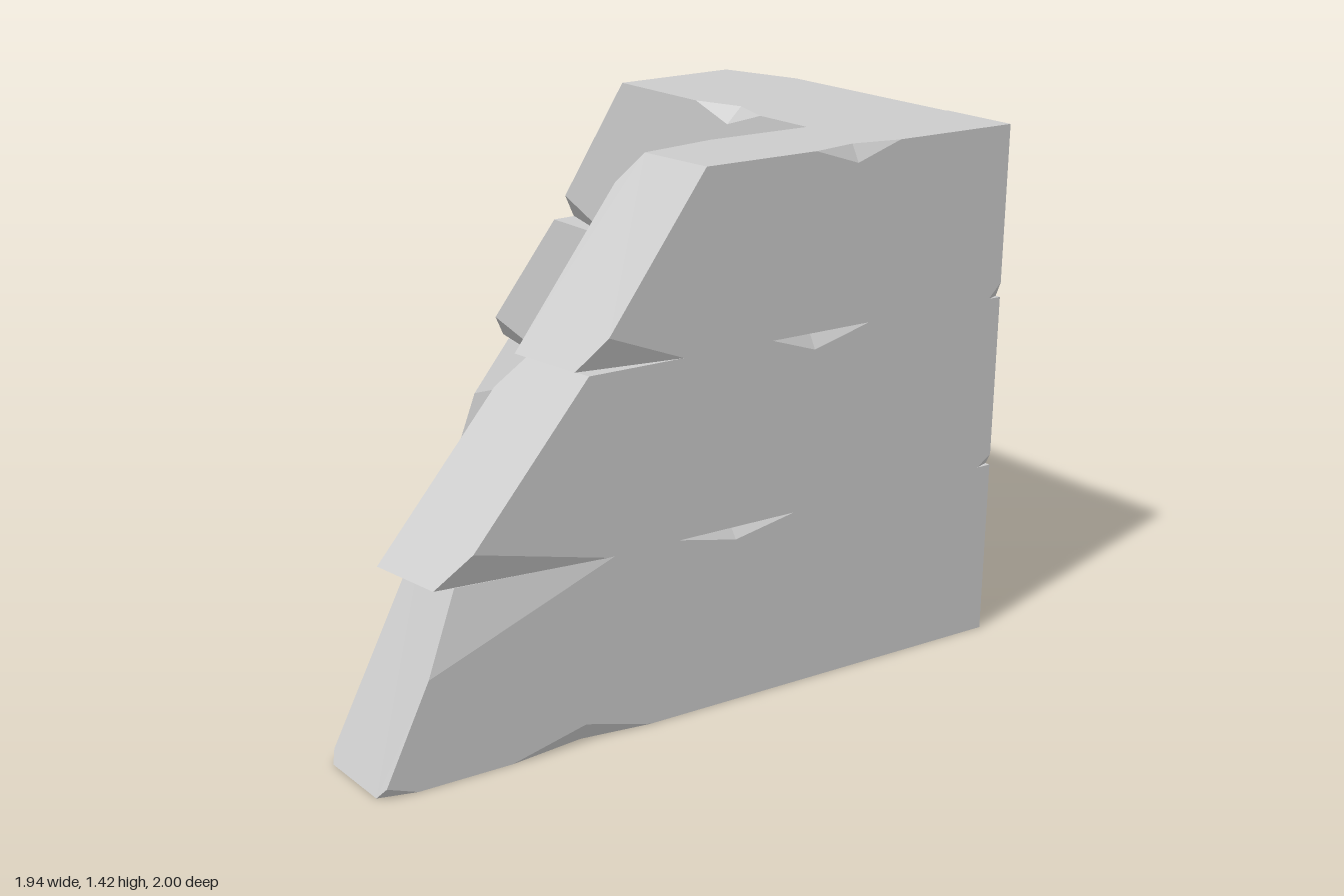
import * as THREE from 'three';

// Rock layers of one wall. Corner order of `left`: x of the sloping end as [back, front].
// chips: [sx, sy, sz, height cut, x reached along the wall, z reached across it]
// notches: [sy, sz, x0, apex x, x1, height]
const LAYERS = [
  {
    name: 'lowerLayer', y: [0, 0.48], left: [[-0.968, -0.972], [-0.73, -0.745]],
    chips: [
      [-1, 1, 1, 0.2, -0.3, 0.35], [-1, 1, -1, 0.04, -0.57, -0.35],
      [-1, -1, 1, 0.03, -0.87, 0.4], [-1, -1, -1, 0.03, -0.91, -0.42],
    ],
    notches: [
      [-1, 1, -0.6, -0.38, -0.18, 0.05], [1, 1, -0.1, 0.08, 0.27, 0.035],
      [-1, -1, 0.41, 0.49, 0.62, 0.03], [1, -1, -0.48, -0.34, -0.13, 0.04],
    ],
  },
  {
    name: 'middleLayer', y: [0.48, 0.955], left: [[-0.825, -0.79], [-0.42, -0.385]],
    chips: [
      [-1, -1, 1, 0.09, -0.32, 0.32], [-1, 1, -1, 0.075, 0.03, -0.35],
      [1, -1, 1, 0.03, 0.92, 0.44], [1, 1, -1, 0.15, 0.93, -0.38],
    ],
    notches: [[1, 1, 0.18, 0.32, 0.5, 0.045], [-1, -1, -0.31, -0.1, 0.04, 0.05]],
  },
  {
    name: 'upperLayer', y: [0.955, 1.425], left: [[-0.425, -0.39], [-0.07, -0.045]],
    chips: [
      [-1, -1, 1, 0.085, -0.1, 0.33], [-1, 1, -1, 0.075, 0.17, -0.35],
      [1, -1, 1, 0.04, 0.925, 0.44], [1, 1, -1, 0.15, 0.93, -0.38],
    ],
    notches: [[1, 1, 0.3, 0.44, 0.58, 0.045], [-1, -1, -0.1, 0.08, 0.23, 0.045]],
  },
];
const NOTCH_DEPTH = 0.1;
const RIGHT = 0.966;
const SIGNS = [-1, 1];

function layerGeometry({ y, left, chips, notches }) {
  const positions = [];
  const vec = (a, b, c) => new THREE.Vector3(a, b, c);

  // Adds a triangle turned towards the given outward direction
  const tri = (a, b, c, out) => {
    const n = b.clone().sub(a).cross(c.clone().sub(a));
    const list = n.dot(out) < 0 ? [a, c, b] : [a, b, c];
    list.forEach((p) => positions.push(p.x, p.y, p.z));
  };
  const face = (loop, out) => {
    const flat = loop.map((p) => out.x ? new THREE.Vector2(p.z, p.y)
      : out.y ? new THREE.Vector2(p.x, p.z) : new THREE.Vector2(p.x, p.y));
    THREE.ShapeUtils.triangulateShape(flat, []).forEach(([i, j, k]) => tri(loop[i], loop[j], loop[k], out));
  };

  const at = (sx, sy, sz) => vec(
    sx > 0 ? RIGHT : left[(sy + 1) / 2][(sz + 1) / 2], y[(sy + 1) / 2], sz / 2);

  // A corner is either one point or a chip with one point on each of its three edges
  const corner = (sx, sy, sz) => {
    const p = at(sx, sy, sz);
    const chip = chips.find((c) => c[0] === sx && c[1] === sy && c[2] === sz);
    if (!chip) return { up: [], along: [p], across: [] };
    return {
      up: [p.clone().lerp(at(sx, -sy, sz), chip[3] / (y[1] - y[0]))],
      along: [vec(chip[4], p.y, p.z)],
      across: [p.clone().lerp(at(sx, sy, -sz), Math.abs(chip[5] - p.z))],
    };
  };

  // Points of a long edge from left to right, with notches bent up the face or inwards
  const edge = (sy, sz, inward) => {
    const yy = y[(sy + 1) / 2];
    const pts = [...corner(-1, sy, sz).along];
    notches.filter((n) => n[0] === sy && n[1] === sz).forEach(([, , x0, xm, x1, h]) => pts.push(
      vec(x0, yy, sz / 2),
      inward ? vec(xm, yy, sz * (0.5 - NOTCH_DEPTH)) : vec(xm, yy - sy * h, sz / 2),
      vec(x1, yy, sz / 2)));
    return [...pts, ...corner(1, sy, sz).along];
  };

  // Front and back, then top and bottom
  for (const s of SIGNS) {
    face([
      ...corner(-1, -1, s).up, ...edge(-1, s, false), ...corner(1, -1, s).up,
      ...corner(1, 1, s).up, ...edge(1, s, false).reverse(), ...corner(-1, 1, s).up,
    ], vec(0, 0, s));
    face([
      ...corner(-1, s, -1).across, ...edge(s, -1, true), ...corner(1, s, -1).across,
      ...corner(1, s, 1).across, ...edge(s, 1, true).reverse(), ...corner(-1, s, 1).across,
    ], vec(0, s, 0));

    // Ends
    const loop = [];
    for (const [sy, sz] of [[-1, -1], [-1, 1], [1, 1], [1, -1]]) {
      const c = corner(s, sy, sz);
      if (!c.up.length) loop.push(...c.along);
      else loop.push(...(sy === sz ? [...c.up, ...c.across] : [...c.across, ...c.up]));
    }
    face(loop, vec(s, 0, 0));
  }

  // Chip facets
  for (const [sx, sy, sz] of chips) {
    const c = corner(sx, sy, sz);
    tri(c.up[0], c.along[0], c.across[0], vec(sx, sy, sz));
  }
  // Notch facets
  for (const [sy, sz, x0, xm, x1, h] of notches) {
    const yy = y[(sy + 1) / 2];
    const apex = vec(xm, yy - sy * h, sz / 2);
    const deep = vec(xm, yy, sz * (0.5 - NOTCH_DEPTH));
    for (const x of [x0, x1]) tri(vec(x, yy, sz / 2), apex, deep, vec(0, sy, sz));
  }

  const geometry = new THREE.BufferGeometry();
  geometry.setAttribute('position', new THREE.Float32BufferAttribute(positions, 3));
  geometry.computeVertexNormals();
  return geometry;
}

export function createModel() {
  const model = new THREE.Group();
  model.name = 'rockWallCorner';
  const material = new THREE.MeshStandardMaterial({ color: 0xcccccc, flatShading: true });
  const layers = LAYERS.map((l) => ({ name: l.name, geometry: layerGeometry(l) }));

  // One wall, stretched to the wanted thickness
  const wall = (name, thickness) => {
    const group = new THREE.Group();
    group.name = name;
    for (const l of layers) {
      const mesh = new THREE.Mesh(l.geometry, material);
      mesh.name = l.name;
      group.add(mesh);
    }
    group.scale.z = thickness;
    model.add(group);
    return group;
  };

  wall('frontWall', 0.26).position.set(0, 0, 0.87);
  // The same wall, thicker and turned to run backwards
  const side = wall('sideWall', 0.47);
  side.rotation.y = -Math.PI / 2;
  side.position.set(0.725, 0, -0.03);
  return model;
}
